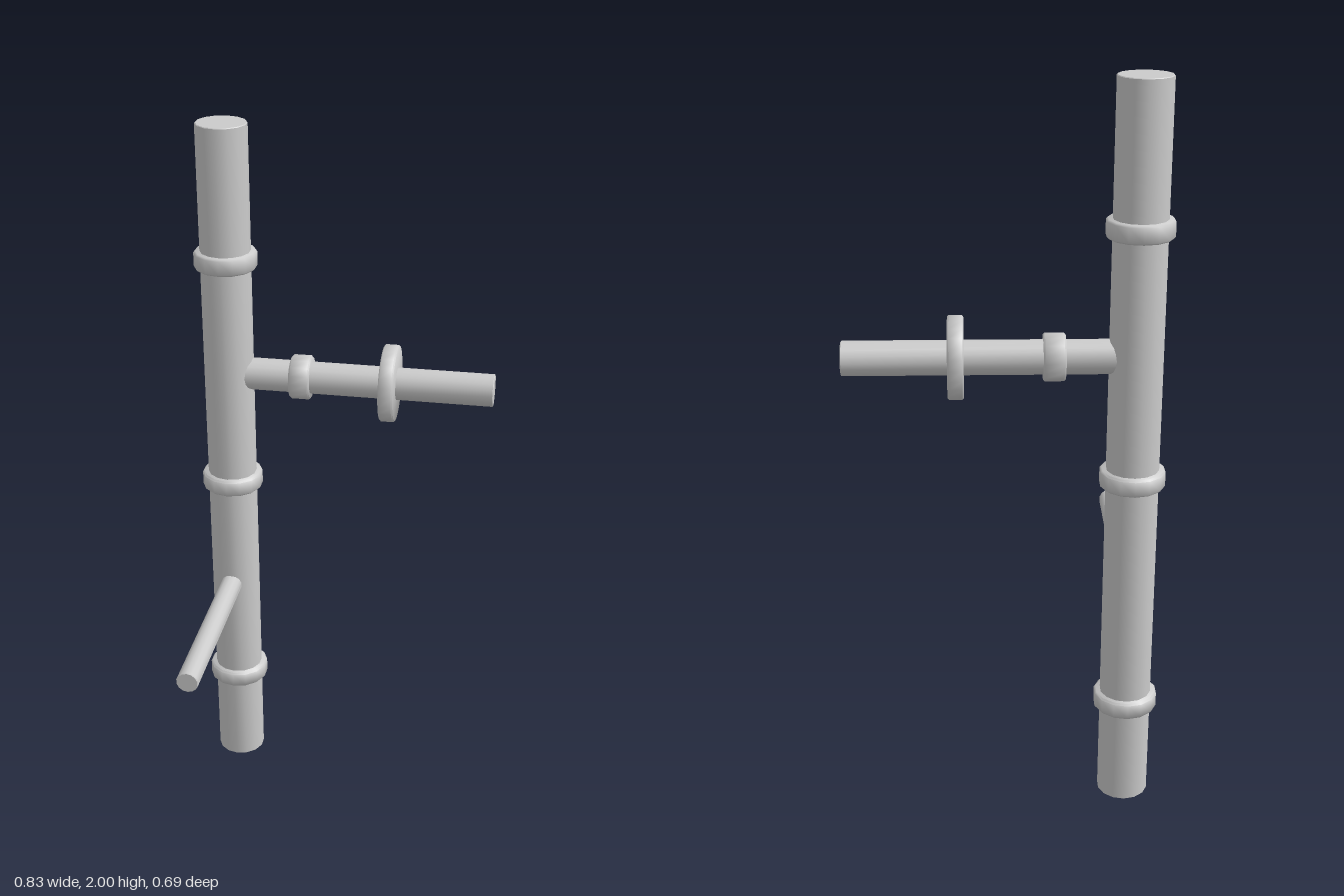
import * as THREE from 'three';
import { toCreasedNormals } from 'three/addons/utils/BufferGeometryUtils.js';

const material = new THREE.MeshStandardMaterial({ color: 0xcccccc });
const X = -0.333, Z = -0.239; // axis of the main pipe

// Closed round bar along +y from y0 to y1, with softened rims
function bar(name, radius, y0, y1, sides, bevel, crease) {
  const profile = [
    [0, y0], [radius - bevel, y0], [radius, y0 + bevel],
    [radius, y1 - bevel], [radius - bevel, y1], [0, y1],
  ].map(([r, y]) => new THREE.Vector2(r, y));
  const geometry = toCreasedNormals(new THREE.LatheGeometry(profile, sides), crease);
  const mesh = new THREE.Mesh(geometry, material);
  mesh.name = name;
  return mesh;
}

export function createModel() {
  const model = new THREE.Group();
  model.name = 'pipeAssembly';

  // Upright pipe with three joint rings
  const upright = new THREE.Group();
  upright.name = 'uprightPipe';
  upright.position.set(X, 0, Z);
  upright.add(bar('mainPipe', 0.07, 0, 2, 14, 0.002, 0.6));
  [0.295, 0.962, 1.629].forEach((y, i) =>
    upright.add(bar(`jointRing${i + 1}`, 0.087, y - 0.024, y + 0.024, 14, 0.005, 1)));

  // Side branch towards +x, with a collar and a wide flange
  const branch = new THREE.Group();
  branch.name = 'sideBranch';
  branch.position.set(X, 1.295, Z);
  branch.rotation.z = -Math.PI / 2;
  branch.add(
    bar('branchPipe', 0.045, 0, 0.748, 16, 0.002, 0.6),
    bar('branchCollar', 0.062, 0.18, 0.237, 16, 0.004, 1),
    bar('branchFlange', 0.108, 0.438, 0.479, 24, 0.004, 1),
  );

  // Thin spout towards the front
  const spout = bar('frontSpout', 0.031, 0, 0.584, 14, 0.002, 0.6);
  spout.position.set(X, 0.63, Z);
  spout.rotation.x = Math.PI / 2;

  model.add(upright, branch, spout);
  return model;
}
